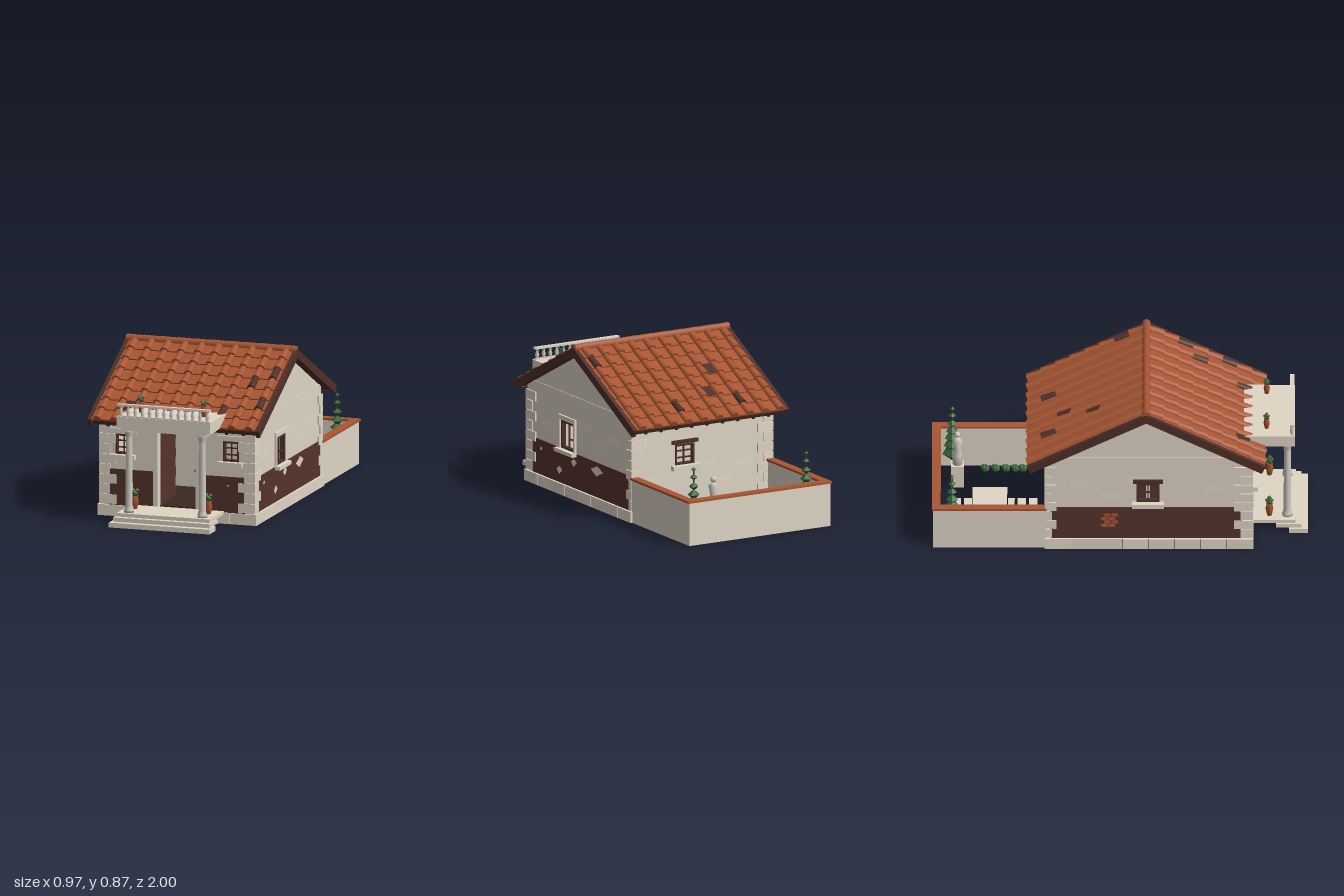
import * as THREE from 'three';

const mat = (name, color) => { const m = new THREE.MeshStandardMaterial({ color }); m.name = name; return m; };
const stone = mat('pale plaster', 0xe0d6c5);
const lightStone = mat('light stone', 0xe5dac9);
const greyStone = mat('grey stone', 0xd0cbc0);
const tile = mat('roof tile', 0xa95633);
const darkTile = mat('dark tile', 0x4e302b);
const dadoRed = mat('dark red plaster', 0x57342d);
const wood = mat('dark wood', 0x4f2f29);
const earth = mat('dark floor', 0x3a2722);
const leaf = mat('foliage', 0x356237);
leaf.flatShading = true;

export function createModel() {
  const root = new THREE.Group();
  root.name = 'villa';
  const group = (name, parent = root) => { const g = new THREE.Group(); g.name = name; parent.add(g); return g; };
  const add = (parent, name, geo, m, x = 0, y = 0, z = 0) => {
    const o = new THREE.Mesh(geo, m);
    o.name = name; o.position.set(x, y, z); parent.add(o);
    return o;
  };
  // box given by its limits on each axis
  const box = (parent, name, m, x0, x1, y0, y1, z0, z1) =>
    add(parent, name, new THREE.BoxGeometry(x1 - x0, y1 - y0, z1 - z0), m, (x0 + x1) / 2, (y0 + y1) / 2, (z0 + z1) / 2);
  const lathe = (pts, n = 10) => new THREE.LatheGeometry(pts.map(p => new THREE.Vector2(...p)), n);

  // walls with openings, holes as [x0, x1, y0, y1]
  const wall = (name, pts, holes) => {
    const s = new THREE.Shape(pts.map(p => new THREE.Vector2(...p)));
    for (const [a, b, c, d] of holes)
      s.holes.push(new THREE.Path([[a, c], [a, d], [b, d], [b, c]].map(p => new THREE.Vector2(...p))));
    return add(root, name, new THREE.ExtrudeGeometry(s, { depth: 0.03, bevelEnabled: false }), stone);
  };
  const F = 0.70, B = -0.39, W = 0.43, RZ = 0.14;
  wall('frontWall', [[-W, 0.05], [-0.11, 0.05], [-0.11, 0.5], [0.105, 0.5], [0.105, 0.05], [W, 0.05], [W, 0.54], [-W, 0.54]],
    [[-0.345, -0.26, 0.34, 0.445], [0.26, 0.345, 0.34, 0.445]]).position.z = F - 0.03;
  wall('backWall', [[-W, 0.05], [W, 0.05], [W, 0.55], [-W, 0.55]], [[0.05, 0.165, 0.28, 0.39]]).position.z = B;
  const gable = [[-F, 0.05], [-B, 0.05], [-B, 0.55], [-RZ, 0.82], [-F, 0.54]];
  for (const [name, x, hole] of [['rightWall', W - 0.03, [-0.345, -0.21, 0.255, 0.405]], ['leftWall', -W, [-0.21, -0.09, 0.285, 0.395]]]) {
    const w = wall(name, gable, [hole]);
    w.rotation.y = Math.PI / 2;
    w.position.x = x;
  }
  for (const s of [-1, 1]) box(root, 'gableCourse', stone, s * W - 0.004, s * W + 0.004, 0.552, 0.562, B + 0.01, F - 0.03);

  // floor and plinth blocks
  box(root, 'floor', earth, -0.405, 0.405, 0.004, 0.067, B + 0.03, F - 0.03);
  const plinth = group('plinth');
  for (let i = 0; i < 8; i++) {
    const z0 = -0.4 + i * 0.138;
    for (const s of [-1, 1]) box(plinth, 'plinthBlock', i % 3 ? stone : lightStone, s * 0.4235 - 0.0235, s * 0.4235 + 0.0235, 0, 0.06, z0, z0 + 0.1365);
  }
  for (let i = 0; i < 6; i++) {
    const x0 = -0.446 + i * 0.149;
    for (const z of [F - 0.012, B + 0.012]) box(plinth, 'plinthBlock', i % 2 ? stone : lightStone, x0, x0 + 0.148, 0, 0.06, z - 0.023, z + 0.023);
  }

  // corner stones
  const quoins = group('quoins');
  for (let i = 0; i < 8; i++) for (const sx of [-1, 1]) for (const front of [true, false]) {
    const lx = i % 2 ? 0.06 : 0.095;
    const lz = front ? (i % 2 ? 0.1 : 0.065) : (i % 2 ? 0.06 : 0.035);
    add(quoins, 'quoin', new THREE.BoxGeometry(lx, 0.051, lz), i % 3 ? stone : lightStone,
      sx * (0.438 - lx / 2), 0.09 + i * 0.055, front ? 0.707 - lz / 2 : -0.397 + lz / 2);
  }

  // painted dado
  for (const s of [-1, 1]) {
    box(root, 'frontDado', dadoRed, s * 0.257 - 0.123, s * 0.257 + 0.123, 0.06, 0.255, F - 0.001, F + 0.004);
    box(root, 'sideDado', dadoRed, s * W - 0.004, s * W + 0.004, 0.06, 0.25, -0.37, 0.65);
  }
  // ragged chips in the paint
  const chip = new THREE.ShapeGeometry(new THREE.Shape([1, 0.75, 0.9, 0.6, 1, 0.8, 1.05, 0.65].map((r, i) =>
    new THREE.Vector2(r * Math.cos(i * Math.PI / 4), r * Math.sin(i * Math.PI / 4)))));
  for (const [z, y, rz, ry] of [[0.36, 0.13, 0.03, 0.024], [0.21, 0.2, 0.032, 0.024], [-0.03, 0.205, 0.064, 0.03], [0.55, 0.205, 0.014, 0.013]]) {
    const p = add(root, 'chippedPaint', chip, stone, W + 0.0055, y, z);
    p.scale.set(rz, ry, 1);
    p.rotation.y = Math.PI / 2;
  }
  add(root, 'chippedPaint', chip, stone, 0.286, 0.207, F + 0.0055).scale.set(0.009, 0.005, 1);
  for (let r = 0; r < 4; r++) for (let c = 0; c < 2; c++)
    box(root, 'bareBrick', tile, -W - 0.007, -W, 0.13 + r * 0.022, 0.147 + r * 0.022, -0.1 + c * 0.04 + (r % 2) * 0.015, -0.066 + c * 0.04 + (r % 2) * 0.015);

  // light stones showing through the plaster
  const bare = group('bareStones');
  for (const [a, y, w] of [[0.5, 0.36, 0.1], [0.1, 0.42, 0.13], [-0.05, 0.33, 0.1], [-0.2, 0.4, 0.12]]) {
    for (const s of [-1, 1])
      add(bare, 'stone', new THREE.PlaneGeometry(w, 0.04), lightStone, s * (W + 0.001), y, a).rotation.y = s * Math.PI / 2;
    add(bare, 'stone', new THREE.PlaneGeometry(w, 0.04), lightStone, a * 0.8 - 0.1, y - 0.15, B - 0.001).rotation.y = Math.PI;
  }

  // barred windows, built facing +z
  const windowUnit = (x, y, z, ry, w, h, cols, rows, lintelMat, lintelW, lintelH, sillH) => {
    const g = group('window');
    g.position.set(x, y, z); g.rotation.y = ry;
    const t = 0.01;
    for (const s of [-1, 1]) {
      add(g, 'frameSide', new THREE.BoxGeometry(t, h, 0.025), wood, s * (w - t) / 2, 0, -0.008);
      add(g, 'frameRail', new THREE.BoxGeometry(w, t, 0.025), wood, 0, s * (h - t) / 2, -0.008);
    }
    for (let i = 1; i < cols; i++) add(g, 'bar', new THREE.BoxGeometry(0.007, h, 0.01), wood, -w / 2 + w * i / cols, 0, -0.008);
    for (let i = 1; i < rows; i++) add(g, 'bar', new THREE.BoxGeometry(w, 0.007, 0.01), wood, 0, -h / 2 + h * i / rows, -0.008);
    add(g, 'lintel', new THREE.BoxGeometry(lintelW, lintelH, 0.03), lintelMat, 0, (h + lintelH) / 2 + 0.004, -0.003);
    add(g, 'sill', new THREE.BoxGeometry(w + 0.05, sillH, 0.06), stone, 0, -(h + sillH) / 2, 0.004);
    return g;
  };
  for (const s of [-1, 1]) windowUnit(s * 0.3025, 0.3925, F, 0, 0.09, 0.109, 2, 3, stone, 0.15, 0.027, 0.025);
  windowUnit(0.1075, 0.335, B, Math.PI, 0.117, 0.112, 2, 3, wood, 0.16, 0.02, 0.025);
  windowUnit(-W, 0.34, 0.15, -Math.PI / 2, 0.122, 0.112, 2, 2, wood, 0.16, 0.022, 0.025);
  const rw = windowUnit(W, 0.33, 0.2775, Math.PI / 2, 0.137, 0.152, 2, 1, stone, 0.175, 0.025, 0.02);
  for (const s of [-1, 1]) add(rw, 'jamb', new THREE.BoxGeometry(0.018, 0.16, 0.024), stone, s * 0.078, 0, 0);
  add(rw, 'handle', new THREE.BoxGeometry(0.04, 0.008, 0.01), wood, 0.045, -0.015, -0.006);

  // doorway, open door and the room behind
  for (const [a, b] of [[-0.133, -0.11], [0.105, 0.13]]) box(root, 'doorJamb', stone, a, b, 0.06, 0.52, F - 0.04, F + 0.01);
  const door = group('openDoor');
  for (let i = 0; i < 8; i++) box(door, 'doorPlank', dadoRed, -0.13, -0.113 - (i % 2) * 0.003, 0.067 + i * 0.052, 0.119 + i * 0.052, 0.4, 0.665);
  box(root, 'partition', stone, -0.4, -0.03, 0.067, 0.54, 0.14, 0.16);
  const table = group('table');
  box(table, 'tableTop', wood, -0.035, 0.135, 0.183, 0.194, 0.2, 0.32);
  for (const x of [-0.02, 0.12]) for (const z of [0.21, 0.31]) box(table, 'tableLeg', wood, x - 0.006, x + 0.006, 0.067, 0.184, z - 0.006, z + 0.006);
  add(table, 'bowl', lathe([[0, 0], [0.014, 0], [0.026, 0.016], [0.022, 0.016], [0, 0.006]]), tile, 0.022, 0.194, 0.26);

  // tiled roof: each slope runs down local +z from the ridge
  const run = 0.622, tilt = Math.atan(0.508), len = run / Math.cos(tilt), pitch = len / 8;
  const cover = new THREE.CylinderGeometry(0.023, 0.018, pitch + 0.012, 8, 1, false, Math.PI / 2, Math.PI).rotateX(Math.PI / 2);
  const darkCovers = ['1,9,2', '1,8,3', '1,9,5', '1,7,6', '-1,2,6', '-1,6,6', '-1,9,1'];
  const darkPans = [[1, -0.285, 6], [-1, -0.095, 5], [-1, -0.19, 3]];
  for (const s of [1, -1]) {
    const turn = group(s > 0 ? 'frontSlope' : 'backSlope');
    turn.position.set(0, 0.838, RZ);
    turn.rotation.y = s > 0 ? 0 : Math.PI;
    const slope = group('slope', turn);
    slope.rotation.x = tilt;
    box(slope, 'roofBoard', wood, -0.465, 0.465, -0.026, -0.002, -0.005, len - 0.012);
    for (const e of [-1, 1]) box(slope, 'bargeBoard', wood, e * 0.472 - 0.011, e * 0.472 + 0.011, -0.032, 0.012, -0.004, len + 0.008);
    box(slope, 'fascia', wood, -0.465, 0.465, -0.03, -0.002, len - 0.02, len - 0.008);
    for (let i = 0; i < 9; i++) add(slope, 'rafterEnd', new THREE.BoxGeometry(0.016, 0.024, 0.03), wood, -0.38 + i * 0.095, -0.034, len - 0.03);
    for (let r = 0; r < 8; r++) {
      const v = (r + 0.5) * pitch;
      add(slope, 'panRow', new THREE.BoxGeometry(0.92, 0.01, pitch + 0.012), tile, 0, 0.007, v).rotation.x = -0.07;
      for (let c = 0; c < 10; c++)
        add(slope, 'coverTile', cover, darkCovers.includes(`${s},${c},${r}`) ? darkTile : tile, s * (-0.428 + c * 0.0948), 0.01, v).rotation.x = -0.07;
    }
    for (const [side, x, r] of darkPans) if (side === s)
      add(slope, 'darkPan', new THREE.BoxGeometry(0.054, 0.008, pitch), darkTile, s * x, 0.0105, (r + 0.5) * pitch).rotation.x = -0.07;
  }
  for (let i = 0; i < 10; i++) {
    const r = add(root, 'ridgeTile', new THREE.CylinderGeometry(0.024, 0.022, 0.1, 8), tile, -0.4275 + i * 0.095, 0.846, RZ);
    r.rotation.z = Math.PI / 2;
  }

  // porch: steps, columns, balcony and balustrade
  const porch = group('porch');
  box(porch, 'lowerStep', stone, -0.283, 0.283, 0, 0.026, 0.9, 1);
  box(porch, 'middleStep', stone, -0.272, 0.272, 0.026, 0.048, 0.83, 0.965);
  box(porch, 'porchFloor', stone, -0.262, 0.262, 0.048, 0.067, F, 0.935);
  const column = lathe([[0, 0], [0.027, 0], [0.027, 0.014], [0.022, 0.02], [0.024, 0.028], [0.019, 0.034], [0.0195, 0.15], [0.0165, 0.4],
    [0.02, 0.41], [0.018, 0.418], [0.026, 0.436], [0.026, 0.45], [0, 0.45]], 12);
  for (const s of [-1, 1]) add(porch, 'column', column, greyStone, s * 0.206, 0.067, 0.89);
  box(porch, 'architrave', stone, -0.242, 0.242, 0.513, 0.53, 0.7, 0.918);
  box(porch, 'balconySlab', stone, -0.263, 0.263, 0.528, 0.59, 0.66, 0.93);
  box(porch, 'bottomRail', stone, -0.255, 0.255, 0.588, 0.596, 0.906, 0.926);
  box(porch, 'topRail', stone, -0.26, 0.26, 0.647, 0.658, 0.904, 0.928);
  const baluster = lathe([[0.011, 0], [0.007, 0.008], [0.0125, 0.02], [0.007, 0.038], [0.007, 0.046], [0.011, 0.054]], 8);
  for (let i = 0; i < 13; i++) add(porch, 'baluster', baluster, greyStone, -0.243 + i * 0.0405, 0.594, 0.916);

  // potted plants
  const pot = lathe([[0, 0], [0.013, 0], [0.021, 0.042], [0.016, 0.06], [0.019, 0.07], [0.015, 0.07], [0, 0.062]]);
  const potted = (x, y, z, k) => {
    const g = group('pottedPlant');
    g.position.set(x, y, z); g.scale.setScalar(k);
    add(g, 'pot', pot, tile);
    add(g, 'leaves', new THREE.IcosahedronGeometry(0.018, 0), leaf, 0, 0.083, 0);
    for (let i = 0; i < 4; i++) add(g, 'leafTuft', new THREE.OctahedronGeometry(0.013, 0), leaf, Math.sin(i * 1.57) * 0.012, 0.092 + (i % 2) * 0.009, Math.cos(i * 1.57) * 0.012);
  };
  for (const s of [-1, 1]) {
    potted(s * 0.176, 0.59, 0.78, 0.8);
    potted(s * 0.207, 0.067, 0.795, 1);
  }

  // walled garden
  const garden = group('garden');
  for (const s of [-1, 1]) {
    box(garden, 'sideWall', stone, s * 0.42 - 0.016, s * 0.42 + 0.016, 0, 0.233, -0.995, B);
    box(garden, 'sideCap', tile, s * 0.42 - 0.024, s * 0.42 + 0.024, 0.233, 0.245, -1, B);
    for (const z of [-0.715, -0.66, -0.605, -0.555, -0.515]) {
      add(garden, 'bush', new THREE.IcosahedronGeometry(0.024, 0), leaf, s * 0.332, 0.025, z);
      add(garden, 'bushTuft', new THREE.OctahedronGeometry(0.02, 0), leaf, s * 0.326, 0.038, z - 0.012);
    }
    // tiered topiary
    for (const [y, r] of [[0.115, 0.056], [0.165, 0.048], [0.21, 0.041], [0.25, 0.034], [0.295, 0.027], [0.345, 0.021], [0.388, 0.014]])
      add(garden, 'topiaryTier', new THREE.SphereGeometry(r, 5, 2).scale(1, 0.85, 1), leaf, s * 0.348, y, -0.893);
    add(garden, 'topiaryTrunk', new THREE.CylinderGeometry(0.004, 0.008, 0.38, 5), wood, s * 0.348, 0.19, -0.893);
  }
  box(garden, 'rearWall', stone, -0.436, 0.436, 0, 0.233, -0.995, -0.962);
  box(garden, 'rearCap', tile, -0.444, 0.444, 0.233, 0.245, -1, -0.953);
  box(garden, 'pavedArea', stone, -0.17, 0.165, 0, 0.012, -0.785, -0.6);
  for (const [a, b] of [[-0.9, -0.845], [-0.83, -0.788], [-0.597, -0.56], [-0.545, -0.5], [-0.485, -0.44]])
    box(garden, 'steppingStone', stone, -0.06, 0.055, 0, 0.01, a, b);
  box(garden, 'benchSeat', wood, -0.31, -0.122, 0.06, 0.074, -0.9, -0.845);
  for (const x of [-0.29, -0.142]) box(garden, 'benchLeg', wood, x - 0.008, x + 0.008, 0, 0.06, -0.892, -0.853);

  // statue on a pedestal
  box(garden, 'pedestal', stone, 0.175, 0.245, 0, 0.13, -0.9, -0.83);
  add(garden, 'statueBody', lathe([[0, 0], [0.027, 0], [0.024, 0.06], [0.018, 0.1], [0.027, 0.145], [0.01, 0.162], [0, 0.162]]), greyStone, 0.21, 0.13, -0.865);
  add(garden, 'statueHead', new THREE.SphereGeometry(0.017, 8, 6), greyStone, 0.21, 0.31, -0.865);

  return root;
}
